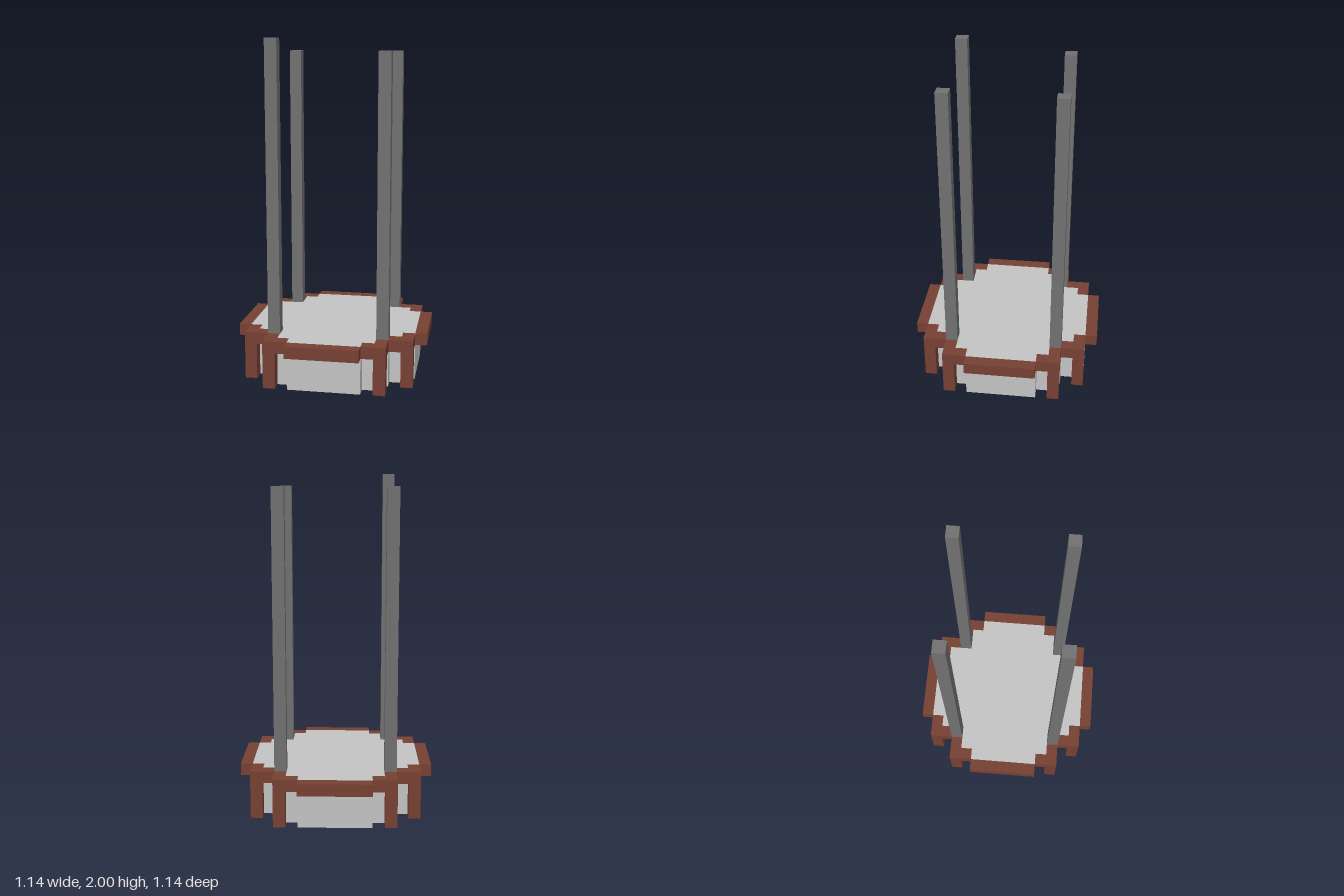
import * as THREE from 'three';

const U = 1 / 14; // one block of the model's grid

export function createModel() {
  const model = new THREE.Group();
  model.name = 'steppedPlatform';

  const stone = new THREE.MeshStandardMaterial({ color: 0xc2c2c2 });
  stone.name = 'light stone';
  const brick = new THREE.MeshStandardMaterial({ color: 0x764033 });
  brick.name = 'red brown brick';
  const iron = new THREE.MeshStandardMaterial({ color: 0x707070 });
  iron.name = 'dark grey';

  // Upright prism from a plan outline of [x, z] points, in blocks
  const prism = (name, outline, y0, y1, material) => {
    const shape = new THREE.Shape(outline.map(([x, z]) => new THREE.Vector2(x * U, -z * U)));
    const geometry = new THREE.ExtrudeGeometry(shape, { depth: (y1 - y0) * U, bevelEnabled: false });
    geometry.rotateX(-Math.PI / 2).translate(0, y0 * U, 0);
    const mesh = new THREE.Mesh(geometry, material);
    mesh.name = name;
    return mesh;
  };
  const block = (name, x0, x1, z0, z1, y0, y1, material) =>
    prism(name, [[x0, z0], [x1, z0], [x1, z1], [x0, z1]], y0, y1, material);

  // Stone body: a stair-stepped corner repeated around the four sides
  const corner = [[3, 7], [3, 6], [4, 6], [4, 5], [5, 5], [5, 4], [6, 4], [6, 3], [7, 3]];
  const outline = [];
  for (let i = 0; i < 4; i++) {
    for (const [x, z] of corner) {
      outline.push([[x, z], [z, -x], [-x, -z], [-z, x]][i]);
    }
  }
  model.add(prism('body', outline, 0, 4, stone));

  // Each quarter: overhanging rim, two corner brackets, two legs and a post
  for (let i = 0; i < 4; i++) {
    const quarter = new THREE.Group();
    quarter.name = 'quarter' + (i + 1);
    quarter.rotation.y = i * Math.PI / 2;
    quarter.add(
      block('sideRim', -3, 3, 7, 8, 3, 4, brick),
      prism('frontBracket', [[3, 6], [4, 6], [4, 5], [5, 5], [5, 7], [3, 7]], 3, 4, brick),
      prism('sideBracket', [[6, 3], [7, 3], [7, 5], [5, 5], [5, 4], [6, 4]], 3, 4, brick),
      block('frontLeg', 4, 5, 6, 7, 0, 3, brick),
      block('sideLeg', 6, 7, 4, 5, 0, 3, brick),
      // One post stands a block taller than the rest
      block('post', 4, 5, 4, 5, 4, i === 3 ? 28 : 27, iron)
    );
    model.add(quarter);
  }
  return model;
}
